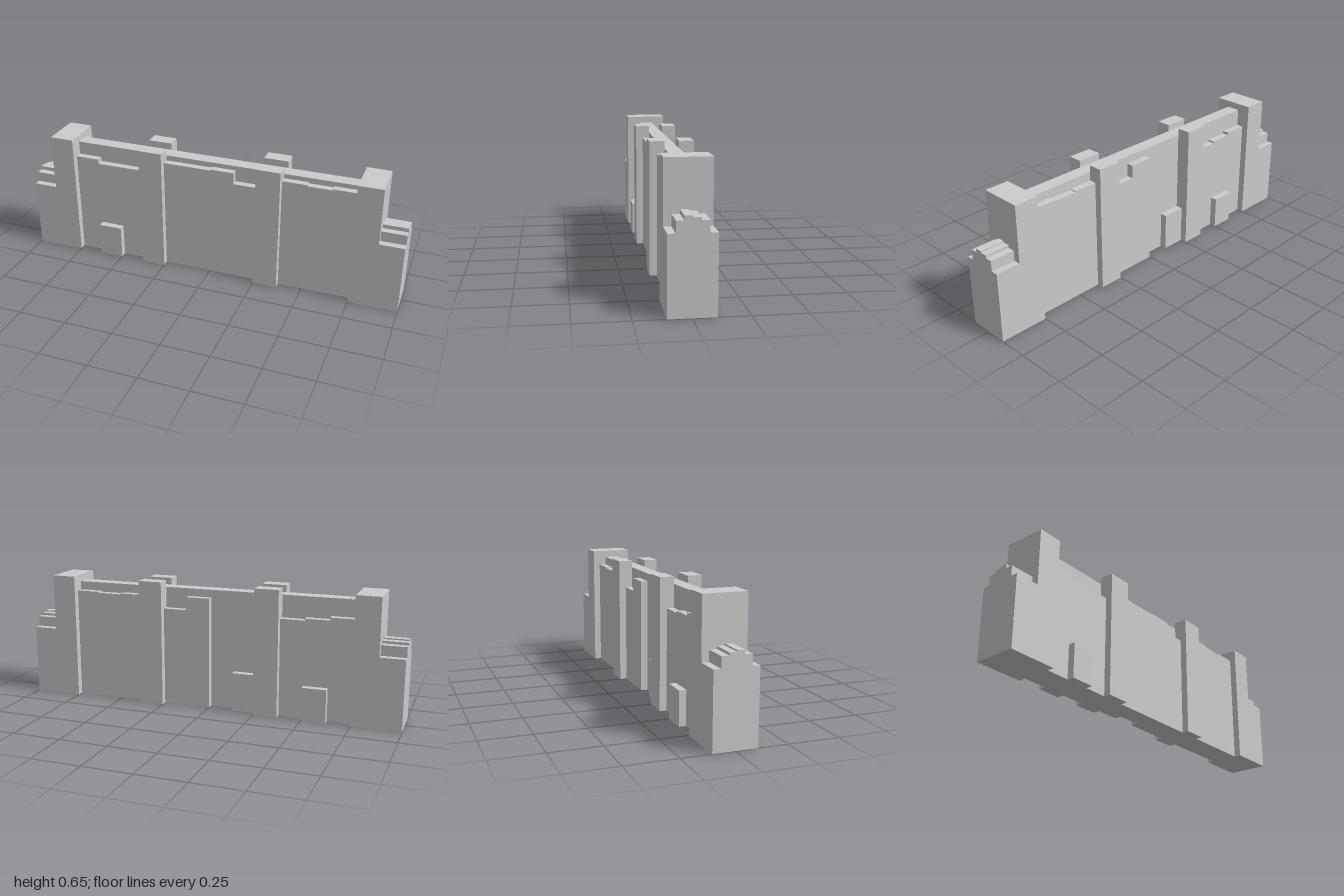
import * as THREE from 'three';

const CELL = 0.125;   // column width along the wall
const LAYER = 0.0355; // thickness of one layer in depth

export function createModel() {
  const model = new THREE.Group();
  const material = new THREE.MeshStandardMaterial({ color: 0xcccccc, flatShading: true });

  // Stepped outline: one height per step, starting at u0, standing on the ground
  function skyline(u0, step, heights) {
    const shape = new THREE.Shape();
    shape.moveTo(u0, 0);
    heights.forEach((h, i) => {
      shape.lineTo(u0 + i * step, h);
      shape.lineTo(u0 + (i + 1) * step, h);
    });
    shape.lineTo(u0 + heights.length * step, 0);
    return shape;
  }

  function add(name, geometry) {
    const mesh = new THREE.Mesh(geometry, material);
    mesh.name = name;
    model.add(mesh);
    return mesh;
  }

  // Slab facing front/back, from column c0, between depth layers z0 and z1
  function slab(name, c0, heights, z0, z1) {
    const geometry = new THREE.ExtrudeGeometry(skyline(c0 * CELL, CELL, heights), {
      depth: (z1 - z0) * LAYER, bevelEnabled: false,
    });
    geometry.translate(0, 0, z0 * LAYER);
    return add(name, geometry);
  }

  // Wall core
  const core = new THREE.BoxGeometry(12 * CELL, 0.62, 2 * LAYER);
  core.translate(0, 0.31, 0);
  add('wallCore', core);

  // Front facing panels with uneven tops
  slab('frontPanelRight', -6, [0.55, 0.527, 0.527], 1, 2);
  slab('frontPanelMiddle', -2, [0.592, 0.592, 0.597, 0.537], 1, 2);
  slab('frontPanelLeft', 3, [0.597, 0.591, 0.597], 1, 2);

  // Back facing panels, leaving a recess beside the centre
  slab('backPanelRight', -6, [0.53, 0.515, 0.505], -2, -1);
  slab('backPanelMiddle', 0, [0.58, 0.512], -2, -1);
  slab('backPanelLeft', 3, [0.575, 0.57, 0.575], -2, -1);

  // Low blocks at the foot of the wall
  slab('frontFootBlock', -5, [0.175], 2, 3);
  slab('backFootBlock', -5, [0.172], -3, -2);
  slab('backRecessBlock', -2, [0.2], -2, -1);

  // Pilasters on both faces, rising above the core
  for (const column of [-3, 2]) {
    slab('frontPilaster', column, [0.655], 1, 3);
    slab('backPilaster', column, [0.655], -3, -1);
  }

  // Full-depth towers and stepped end walls
  for (const side of [-1, 1]) {
    slab('endTower', side < 0 ? -7 : 6, [0.655], -3, 3);

    // Step heights run from front to back
    const steps = [0.362, 0.415, 0.435, 0.428, 0.415, 0.362];
    const geometry = new THREE.ExtrudeGeometry(skyline(-3 * LAYER, LAYER, steps), {
      depth: CELL, bevelEnabled: false,
    });
    geometry.rotateY(Math.PI / 2);
    geometry.translate(side < 0 ? -8 * CELL : 7 * CELL, 0, 0);
    add('steppedEndWall', geometry);
  }

  return model;
}
